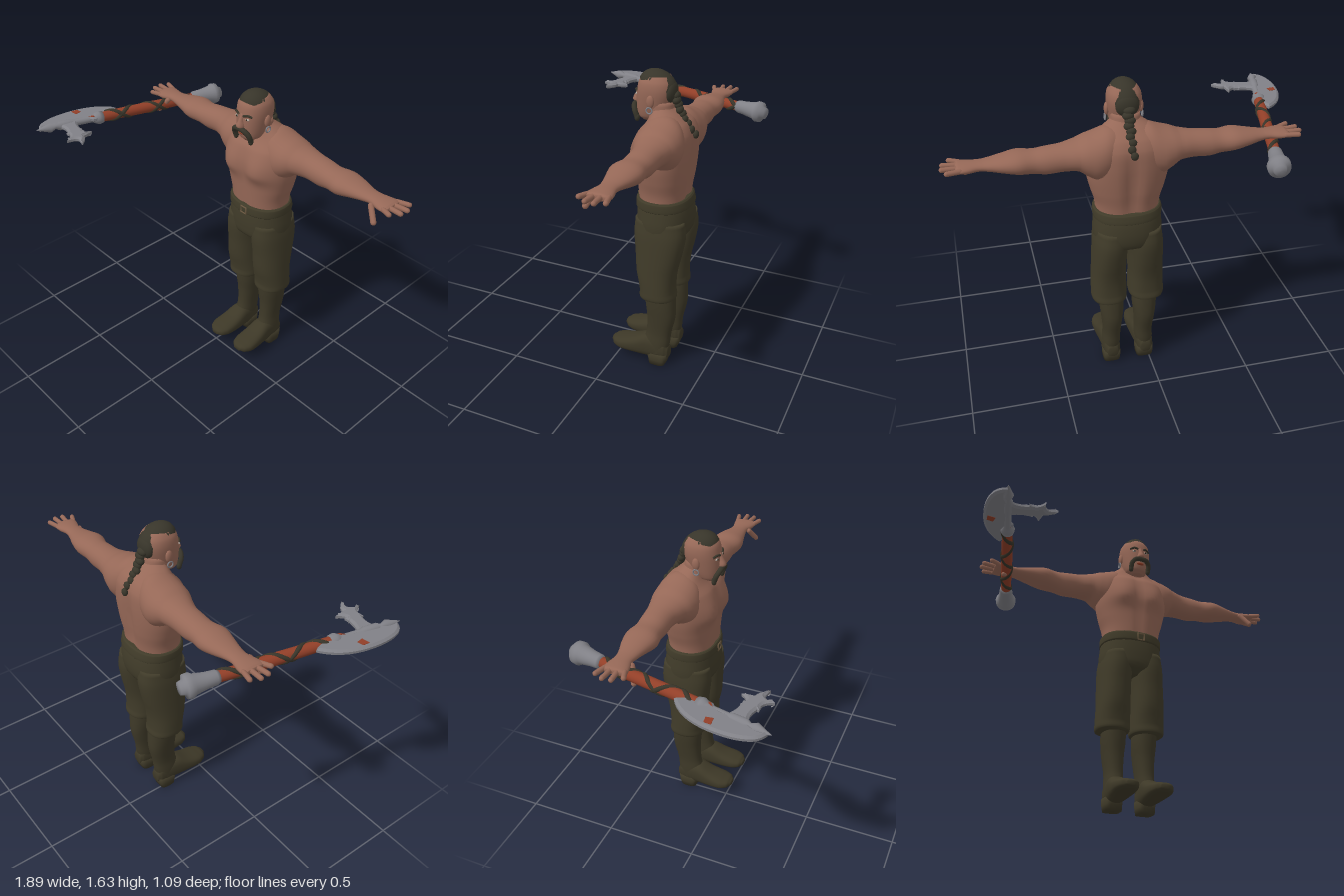
import * as THREE from 'three';
import { mergeGeometries } from 'three/addons/utils/BufferGeometryUtils.js';

const mat = (name, color) => Object.assign(new THREE.MeshStandardMaterial({ color }), { name });
const skin = mat('skin', 0x966857), cloth = mat('trouser cloth', 0x403b29), leather = mat('boot leather', 0x3d3827);
const dark = mat('dark leather', 0x2c281e), hair = mat('hair', 0x38352a), steel = mat('steel', 0x818187);
const red = mat('red grip', 0x923f28), eyeWhite = mat('eye white', 0xb5aaa0), brass = mat('buckle metal', 0x6e5a42);

// Smooth skin through rounded cross-sections. Rows: [t, uMin, uMax, vMin, vMax].
// Axis y: u = z, v = x. Axis x: u = y, v = z. Axis z: u = x, v = y.
function loft(axis, rows, { power = 2.3, n = 28, steps = 4, shape } = {}) {
  const at = (i) => rows[Math.min(Math.max(i, 0), rows.length - 1)];
  const rings = [];
  for (let i = 0; i < rows.length - 1; i++) {
    for (let s = 0; s < steps; s++) {
      const t = s / steps;
      rings.push(rows[i].map((b, k) => {
        const a = at(i - 1)[k], c = at(i + 1)[k], d = at(i + 2)[k];
        if (k === 0) return b + (c - b) * t;
        return b + 0.5 * t * (c - a + t * (2 * a - 5 * b + 4 * c - d + t * (3 * (b - c) + d - a)));
      }));
    }
  }
  rings.push(at(rows.length));
  const pos = [], index = [];
  const put = (u, v, t) => {
    const p = new THREE.Vector3(...(axis === 'y' ? [v, t, u] : axis === 'x' ? [t, u, v] : [u, v, t]));
    if (shape) shape(p);
    pos.push(p.x, p.y, p.z);
  };
  const bend = (c) => Math.sign(c) * Math.pow(Math.abs(c), 2 / power);
  for (const [t, u0, u1, v0, v1] of rings) {
    for (let j = 0; j < n; j++) {
      const a = (j / n) * Math.PI * 2;
      put((u0 + u1) / 2 + bend(Math.cos(a)) * (u1 - u0) / 2, (v0 + v1) / 2 + bend(Math.sin(a)) * (v1 - v0) / 2, t);
    }
  }
  const last = (rings.length - 1) * n, c0 = rings.length * n;
  for (const [t, u0, u1, v0, v1] of [rings[0], rings[rings.length - 1]]) put((u0 + u1) / 2, (v0 + v1) / 2, t);
  for (let j = 0; j < n; j++) {
    const k = (j + 1) % n;
    for (let r = 0; r < last; r += n) index.push(r + j, r + k, r + n + j, r + k, r + n + k, r + n + j);
    index.push(c0, k, j, c0 + 1, last + j, last + k);
  }
  const g = new THREE.BufferGeometry();
  g.setAttribute('position', new THREE.Float32BufferAttribute(pos, 3));
  g.setIndex(index);
  g.computeVertexNormals();
  return g;
}

function mirrored(geo) {
  const g = geo.clone().scale(-1, 1, 1), ix = g.index.array;
  for (let i = 0; i < ix.length; i += 3) [ix[i], ix[i + 1]] = [ix[i + 1], ix[i]];
  return g;
}

const ball = (x, y, z, rx, ry, rz) => new THREE.SphereGeometry(1, 18, 12).scale(rx, ry, rz).translate(x, y, z);
const v3 = (p) => new THREE.Vector3(...p);
const tube = (pts, r, seg = 24) => new THREE.TubeGeometry(new THREE.CatmullRomCurve3(pts.map(v3)), seg, r, 8);

// Capsule between two points
function finger(a, b, r) {
  const d = v3(b).sub(v3(a)), len = d.length();
  return new THREE.CapsuleGeometry(r, len, 4, 10).translate(0, len / 2, 0)
    .applyQuaternion(new THREE.Quaternion().setFromUnitVectors(new THREE.Vector3(0, 1, 0), d.normalize()))
    .translate(...a);
}

export function createModel() {
  const model = new THREE.Group(), body = new THREE.Group();
  model.name = 'axeWarrior';
  body.name = 'body';
  body.position.x = 0.115;
  model.add(body);
  const add = (name, geo, m, parent = body) => {
    const mesh = new THREE.Mesh(geo, m);
    mesh.name = name;
    parent.add(mesh);
  };
  const pair = (name, geo, m) => {
    add('left' + name, geo, m);
    add('right' + name, mirrored(geo), m);
  };

  // Torso with chest muscles and a spine groove
  add('torso', loft('y', [
    [0.96, -0.35, -0.105, -0.16, 0.16], [1.03, -0.355, -0.1, -0.165, 0.165], [1.1, -0.365, -0.095, -0.185, 0.185],
    [1.18, -0.372, -0.09, -0.203, 0.203], [1.26, -0.375, -0.09, -0.208, 0.208], [1.33, -0.37, -0.105, -0.2, 0.2],
    [1.38, -0.345, -0.14, -0.175, 0.175], [1.42, -0.3, -0.155, -0.115, 0.115], [1.46, -0.25, -0.16, -0.06, 0.06],
  ], {
    n: 56, steps: 6,
    shape: (p) => {
      const x = Math.abs(p.x), bump = (v, c, w) => Math.exp(-(((v - c) / w) ** 2));
      if (p.z > -0.2) p.z += 0.03 * bump(x, 0.095, 0.075) * bump(p.y, 1.21, p.y < 1.21 ? 0.05 : 0.1) - 0.006 * bump(x, 0, 0.02);
      else p.z += 0.022 * bump(x, 0, 0.035) * bump(p.y, 1.15, 0.2);
    },
  }), skin);
  add('neck', loft('y', [
    [1.34, -0.3, -0.14, -0.1, 0.1], [1.4, -0.275, -0.135, -0.08, 0.08], [1.48, -0.255, -0.12, -0.072, 0.072],
  ]), skin);

  // Shoulders, arms and hands
  const arm = loft('x', [
    [0.03, 1.22, 1.42, -0.33, -0.17], [0.1, 1.18, 1.43, -0.36, -0.135], [0.16, 1.17, 1.41, -0.37, -0.125],
    [0.21, 1.2, 1.395, -0.363, -0.135], [0.25, 1.23, 1.38, -0.35, -0.155], [0.32, 1.235, 1.368, -0.335, -0.18],
    [0.4, 1.23, 1.36, -0.33, -0.183], [0.46, 1.24, 1.352, -0.325, -0.183], [0.53, 1.247, 1.355, -0.335, -0.168],
    [0.6, 1.262, 1.343, -0.322, -0.183], [0.67, 1.275, 1.33, -0.3, -0.2], [0.715, 1.28, 1.326, -0.295, -0.205],
    [0.76, 1.278, 1.325, -0.305, -0.192], [0.8, 1.285, 1.322, -0.31, -0.185], [0.815, 1.292, 1.316, -0.3, -0.195],
  ], { power: 2.1 });
  const digits = [0.84, 0.872, 0.876, 0.855].map((tip, i) =>
    finger([0.795, 1.305, -0.198 - i * 0.033], [tip, 1.308, -0.18 - i * 0.044], 0.0125));
  digits.push(finger([0.725, 1.293, -0.2], [0.77, 1.233, -0.172], 0.014));
  pair('Arm', arm, skin);
  pair('Fingers', mergeGeometries(digits), skin);

  // Head, nose and ears
  add('head', loft('y', [
    [1.375, -0.16, -0.1, -0.03, 0.03], [1.395, -0.2, -0.08, -0.058, 0.058], [1.43, -0.235, -0.072, -0.071, 0.071],
    [1.48, -0.255, -0.07, -0.08, 0.08], [1.53, -0.265, -0.073, -0.085, 0.085], [1.57, -0.258, -0.082, -0.08, 0.08],
    [1.6, -0.235, -0.105, -0.062, 0.062], [1.615, -0.2, -0.13, -0.035, 0.035], [1.62, -0.175, -0.16, -0.008, 0.008],
  ], { power: 2.2 }), skin);
  add('nose', loft('y', [
    [1.453, -0.1, -0.06, -0.014, 0.014], [1.466, -0.1, -0.043, -0.021, 0.021],
    [1.495, -0.1, -0.054, -0.013, 0.013], [1.53, -0.1, -0.071, -0.01, 0.01],
  ], { n: 14 }), skin);
  add('lips', ball(0, 1.425, -0.075, 0.022, 0.008, 0.01), red);
  pair('Ear', ball(0.085, 1.487, -0.17, 0.012, 0.032, 0.02), skin);
  pair('Earring', new THREE.TorusGeometry(0.015, 0.004, 6, 16).rotateY(Math.PI / 2).translate(0.092, 1.445, -0.168), steel);
  pair('Eye', ball(0.034, 1.507, -0.079, 0.013, 0.006, 0.006), eyeWhite);
  pair('Pupil', ball(0.034, 1.507, -0.074, 0.005, 0.005, 0.003), dark);
  pair('Eyebrow', tube([[0.014, 1.522, -0.07], [0.036, 1.529, -0.076], [0.058, 1.522, -0.09]], 0.006, 10), hair);

  // Drooping moustache, shaved-side hair and braid
  pair('Moustache', mergeGeometries([
    tube([[-0.004, 1.452, -0.062], [0.03, 1.447, -0.063], [0.05, 1.425, -0.074], [0.052, 1.39, -0.088]], 0.0135),
    ball(0.052, 1.39, -0.088, 0.0135, 0.02, 0.0135),
  ]), hair);
  add('hairCap', new THREE.SphereGeometry(1, 32, 14, 0, Math.PI * 2, 0, Math.PI / 2).scale(0.081, 0.079, 0.1)
    .rotateX(-0.44).translate(0, 1.546, -0.176), hair);
  add('backHair', ball(0, 1.525, -0.245, 0.058, 0.055, 0.03), hair);
  const braidPath = new THREE.CatmullRomCurve3([[0, 1.51, -0.268], [0, 1.45, -0.29], [0, 1.39, -0.325], [0, 1.325, -0.378]].map(v3));
  add('braid', mergeGeometries(Array.from({ length: 9 }, (_, i) => {
    const p = braidPath.getPoint(i / 8), r = 0.03 - i * 0.0014;
    return ball(p.x + (i % 2 ? 0.004 : -0.004), p.y, p.z, r, 0.021, r * 0.75);
  })), hair);

  // Trousers and belt
  add('hips', loft('y', [
    [0.755, -0.3, -0.16, -0.1, 0.1], [0.79, -0.36, -0.105, -0.165, 0.165], [0.85, -0.376, -0.094, -0.177, 0.177],
    [0.92, -0.372, -0.094, -0.172, 0.172], [0.985, -0.357, -0.1, -0.165, 0.165],
  ]), cloth);
  add('belt', loft('y', [
    [0.938, -0.366, -0.094, -0.168, 0.168], [0.945, -0.374, -0.088, -0.175, 0.175],
    [0.985, -0.366, -0.09, -0.174, 0.174], [0.994, -0.358, -0.096, -0.167, 0.167],
  ]), cloth);
  add('buckle', new THREE.TorusGeometry(0.026, 0.005, 6, 4).rotateZ(Math.PI / 4).translate(0.01, 0.962, -0.088), brass);
  pair('TrouserLeg', loft('y', [
    [0.425, -0.315, -0.155, 0.03, 0.165], [0.436, -0.335, -0.14, 0.008, 0.192], [0.48, -0.33, -0.14, 0.006, 0.194],
    [0.58, -0.335, -0.12, 0.009, 0.19], [0.7, -0.36, -0.11, 0.007, 0.185], [0.8, -0.374, -0.1, 0.002, 0.18],
    [0.88, -0.365, -0.105, 0.005, 0.17],
  ]), cloth);

  // Boots
  pair('BootShaft', loft('y', [
    [0.06, -0.29, -0.17, 0.05, 0.14], [0.13, -0.303, -0.158, 0.043, 0.14], [0.2, -0.31, -0.172, 0.042, 0.136],
    [0.3, -0.33, -0.174, 0.034, 0.145], [0.38, -0.33, -0.166, 0.026, 0.153], [0.46, -0.325, -0.16, 0.026, 0.155],
  ]), leather);
  pair('BootFoot', loft('z', [
    [-0.305, 0.065, 0.12, 0.05, 0.11], [-0.28, 0.05, 0.135, 0.035, 0.15], [-0.18, 0.036, 0.147, 0.035, 0.172],
    [-0.1, 0.03, 0.157, 0.043, 0.14], [-0.03, 0.031, 0.16, 0.052, 0.122], [0.01, 0.045, 0.143, 0.063, 0.112],
    [0.03, 0.07, 0.115, 0.075, 0.1],
  ], { power: 2.6 }), leather);
  pair('BootHeel', loft('y', [
    [0, -0.285, -0.195, 0.048, 0.139], [0.03, -0.295, -0.19, 0.046, 0.141], [0.07, -0.3, -0.18, 0.046, 0.141],
  ], { power: 4, steps: 1 }), leather);

  // Axe handle, built along local y from the pommel to the spike
  const axe = new THREE.Group(), handle = new THREE.Group();
  axe.name = 'axe';
  handle.name = 'axeHandle';
  const start = v3([-0.552, 1.25, -0.545]), along = v3([-0.817, 1.29, 0.54]).sub(start);
  handle.position.copy(start);
  handle.quaternion.setFromUnitVectors(new THREE.Vector3(0, 1, 0), along.normalize());
  axe.add(handle);
  model.add(axe);
  const turned = (pts) => new THREE.LatheGeometry(pts.map((p) => new THREE.Vector2(...p)), 24);
  add('pommel', turned([[0, 0], [0.03, 0.002], [0.036, 0.025], [0.056, 0.03], [0.058, 0.055], [0.048, 0.07],
    [0.038, 0.13], [0.035, 0.175], [0.027, 0.19], [0, 0.19]]), steel, handle);
  add('grip', turned([[0.027, 0.18], [0.03, 0.45], [0.027, 0.75]]), red, handle);
  for (const side of [1, -1]) {
    const pts = Array.from({ length: 41 }, (_, i) => {
      const a = side * (i / 40) * Math.PI * 5;
      return [0.024 * Math.cos(a), 0.185 + i * 0.014, 0.024 * Math.sin(a)];
    });
    add('gripWrap', tube(pts, 0.0115, 120), hair, handle);
  }
  add('neckAndSpike', turned([[0, 0.735], [0.032, 0.74], [0.037, 0.765], [0.028, 0.785], [0.019, 0.8], [0.018, 0.9],
    [0.024, 0.92], [0.024, 0.99], [0.013, 1.01], [0.026, 1.04], [0, 1.118]]), steel, handle);

  // Flat axe head, drawn in x and z
  const plate = (start, curves, y, depth, bevel) => {
    const s = new THREE.Shape();
    s.moveTo(start[0], -start[1]);
    for (const c of curves) {
      if (c.length === 2) s.lineTo(c[0], -c[1]);
      else s.quadraticCurveTo(c[0], -c[1], c[2], -c[3]);
    }
    return new THREE.ExtrudeGeometry(s, {
      depth, curveSegments: 10, bevelEnabled: bevel > 0, bevelThickness: bevel, bevelSize: 0.012, bevelOffset: -0.012, bevelSegments: 1,
    }).rotateX(-Math.PI / 2).translate(0, y - depth / 2, 0);
  };
  add('axeBlade', plate([-0.86, 0.07], [
    [-0.96, 0.13, -0.99, 0.27], [-1.015, 0.4, -0.985, 0.47], [-0.97, 0.505, -0.93, 0.52], [-0.935, 0.44, -0.885, 0.42],
    [-0.84, 0.4, -0.78, 0.435], [-0.76, 0.35], [-0.83, 0.355, -0.875, 0.315], [-0.87, 0.27, -0.83, 0.24], [-0.8, 0.17, -0.86, 0.07],
  ], 1.283, 0.012, 0.009), steel);
  add('axeBackSpike', plate([-0.79, 0.345], [
    [-0.76, 0.385, -0.725, 0.325], [-0.715, 0.385], [-0.69, 0.385, -0.655, 0.435],
    [-0.7, 0.425], [-0.725, 0.43, -0.73, 0.48], [-0.75, 0.42, -0.8, 0.435],
  ], 1.283, 0.012, 0.009), steel);
  // Thin red marks on both faces of the blade
  for (const y of [1.2985, 1.2675]) {
    add('bladeMark', plate([-0.968, 0.255], [[-0.935, 0.25], [-0.93, 0.285], [-0.972, 0.29]], y, 0.003, 0), red);
    add('bladeMark', plate([-0.842, 0.21], [[-0.835, 0.2], [-0.84, 0.235], [-0.862, 0.25]], y, 0.003, 0), red);
  }
  return model;
}
